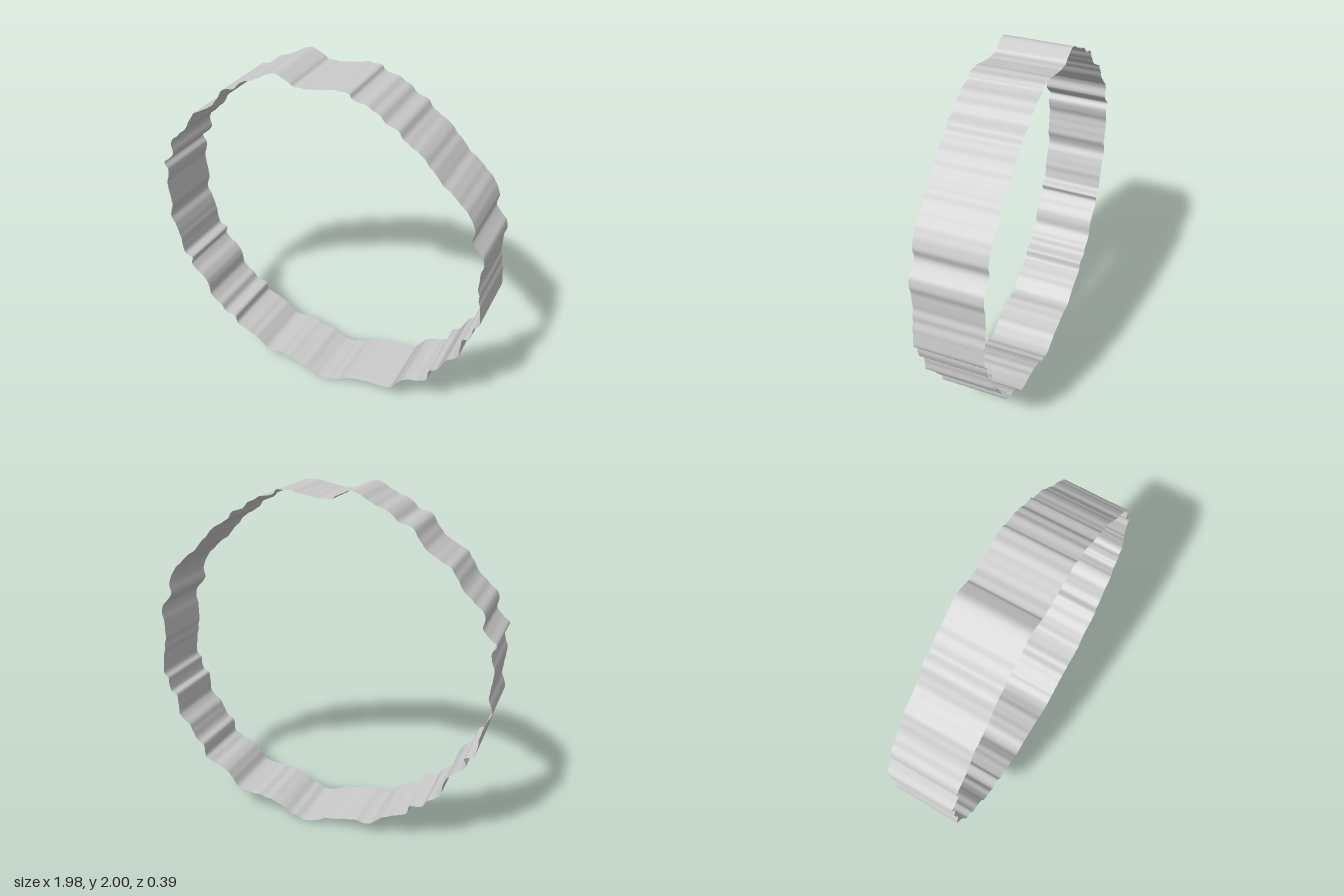
import * as THREE from 'three';

const HALF_DEPTH = 0.195;
const STEPS = 720;

// Wavy outline of the ring, anticlockwise, measured from the ring's centre
const OUTLINE = [
  0.97, 0, 0.96, 0.06, 0.96, 0.14, 0.968, 0.248, 0.935, 0.285, 0.9, 0.335, 0.903, 0.4, 0.887, 0.45,
  0.803, 0.548, 0.722, 0.612, 0.668, 0.671, 0.586, 0.754, 0.51, 0.797, 0.478, 0.84, 0.415, 0.865,
  0.378, 0.897, 0.308, 0.935, 0.226, 0.955, 0.21, 0.976, 0.111, 0.976, 0.023, 0.957,
  -0.1, 0.95, -0.12, 0.965, -0.22, 0.995, -0.31, 0.945, -0.398, 0.91, -0.46, 0.86, -0.53, 0.835,
  -0.579, 0.76, -0.634, 0.71, -0.735, 0.65, -0.803, 0.545, -0.92, 0.423, -0.912, 0.355,
  -0.985, 0.278, -0.966, 0.236, -0.986, 0.12, -0.97, 0, -0.99, -0.098, -0.953, -0.189,
  -0.932, -0.294, -0.92, -0.36, -0.865, -0.385, -0.88, -0.43, -0.84, -0.47, -0.775, -0.53,
  -0.74, -0.65, -0.68, -0.69, -0.65, -0.735, -0.58, -0.75, -0.56, -0.8, -0.435, -0.855,
  -0.32, -0.93, -0.25, -0.92, -0.163, -0.937, -0.06, -0.958, 0.05, -1, 0.147, -0.975,
  0.25, -0.92, 0.366, -0.893, 0.5, -0.875, 0.535, -0.845, 0.585, -0.775, 0.69, -0.725, 0.735, -0.7,
  0.745, -0.62, 0.785, -0.6, 0.83, -0.51, 0.9, -0.435, 0.913, -0.31, 0.95, -0.29,
  0.965, -0.21, 0.987, -0.185, 0.99, -0.12,
];

function outlinePoints() {
  const knots = [];
  for (let i = 0; i < OUTLINE.length; i += 2) {
    knots.push(new THREE.Vector3(OUTLINE[i], OUTLINE[i + 1], 0));
  }
  const curve = new THREE.CatmullRomCurve3(knots, true, 'centripetal');
  const points = curve.getSpacedPoints(STEPS).slice(0, STEPS);

  // Fine ripples on top of the larger waves
  for (const p of points) {
    const a = Math.atan2(p.y, p.x);
    p.multiplyScalar(1 + 0.002 * Math.sin(61 * a + 2 * Math.sin(5 * a)) + 0.001 * Math.sin(97 * a));
  }
  return points;
}

// Open band: the outline swept straight from back to front
function bandGeometry(points) {
  const positions = [];
  const indices = [];
  const n = points.length;
  points.forEach((p, i) => {
    positions.push(p.x, p.y, -HALF_DEPTH, p.x, p.y, HALF_DEPTH);
    const a = 2 * i;
    const b = 2 * ((i + 1) % n);
    indices.push(a, b, a + 1, b, b + 1, a + 1);
  });
  const geometry = new THREE.BufferGeometry();
  geometry.setAttribute('position', new THREE.Float32BufferAttribute(positions, 3));
  geometry.setIndex(indices);
  geometry.computeVertexNormals();
  geometry.computeBoundingBox();
  return geometry;
}

export function createModel() {
  const group = new THREE.Group();
  group.name = 'wavyRing';
  const material = new THREE.MeshStandardMaterial({ color: 0xcccccc, side: THREE.DoubleSide });
  const band = new THREE.Mesh(bandGeometry(outlinePoints()), material);
  band.name = 'rippledBand';
  // Rest the lowest wave on the ground
  band.position.y = -band.geometry.boundingBox.min.y;
  group.add(band);
  return group;
}
